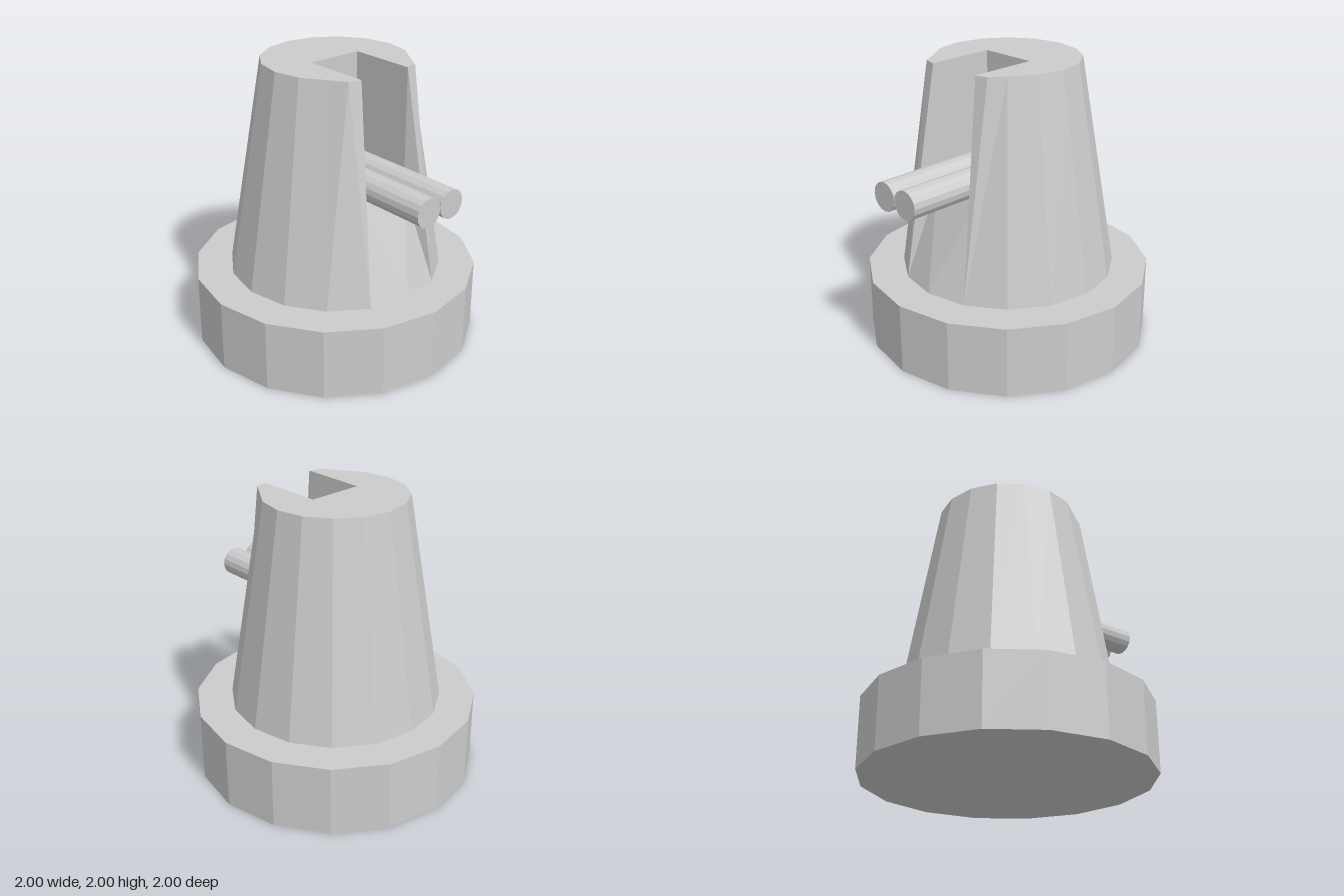
import * as THREE from 'three';

const SIDES = 16;

// Point on a ring, angle measured from the front (+z) towards +x
const ringPoint = (k, r, y) => {
  const a = (k / SIDES) * Math.PI * 2;
  return [r * Math.sin(a), y, r * Math.cos(a)];
};

// Tapered tower with a slot cut into its front
function towerGeometry() {
  const pos = [];
  // Adds a convex face, corners counter-clockwise from outside
  const face = (...p) => {
    for (let i = 1; i < p.length - 1; i++) pos.push(...p[0], ...p[i], ...p[i + 1]);
  };
  const mirror = ([x, y, z]) => [-x, y, z];
  const bothSides = (...p) => {
    face(...p);
    face(...p.map(mirror).reverse());
  };

  const low = [], high = [];
  for (let k = 0; k < SIDES; k++) {
    low.push(ringPoint(k, 0.75, 0.5));
    high.push(ringPoint(k, 0.5, 2));
  }
  // Top corners beside the slot stand straight above the lower ones
  high[1] = [low[1][0], 2, 0.46];
  high[15] = mirror(high[1]);

  const lip = [0.2, 2, 0.48], sill = [0.2, 1.15, 0.48];
  const backTop = [0.2, 2, 0], backLow = [0.2, 1.15, 0];

  // Outer walls
  for (let k = 1; k < SIDES - 1; k++) face(low[k], low[k + 1], high[k + 1], high[k]);

  // Roof around the slot
  bothSides(backTop, lip, high[1]);
  for (let k = 1; k < 8; k++) bothSides(backTop, high[k], high[k + 1]);
  face(backTop, high[8], mirror(backTop));

  // Slot: front facets, flared cheeks, side walls
  bothSides(low[1], high[1], lip);
  bothSides(low[1], lip, sill);
  bothSides(sill, lip, backTop, backLow);
  // Slot: back wall and floor
  face(mirror(backLow), backLow, backTop, mirror(backTop));
  face(mirror(sill), sill, backLow, mirror(backLow));
  // Ramp below the slot
  face(low[0], sill, mirror(sill));
  bothSides(low[0], low[1], sill);

  const g = new THREE.BufferGeometry();
  g.setAttribute('position', new THREE.Float32BufferAttribute(pos, 3));
  g.computeVertexNormals();
  return g;
}

export function createModel() {
  const group = new THREE.Group();
  group.name = 'gunTower';
  const grey = new THREE.MeshStandardMaterial({ color: 0xcccccc, flatShading: true });
  grey.name = 'light grey';

  const add = (name, geometry) => {
    const mesh = new THREE.Mesh(geometry, grey);
    mesh.name = name;
    group.add(mesh);
    return mesh;
  };

  // Round base
  add('base', new THREE.CylinderGeometry(1, 1, 0.5, SIDES)).position.y = 0.25;

  add('tower', towerGeometry());

  // Twin barrels resting on the slot floor
  for (const [name, x] of [['leftBarrel', 0.1], ['rightBarrel', -0.1]]) {
    const barrel = add(name, new THREE.CylinderGeometry(0.1, 0.1, 1, 16));
    barrel.rotation.x = Math.PI / 2;
    barrel.position.set(x, 1.25, 0.5);
  }

  return group;
}
